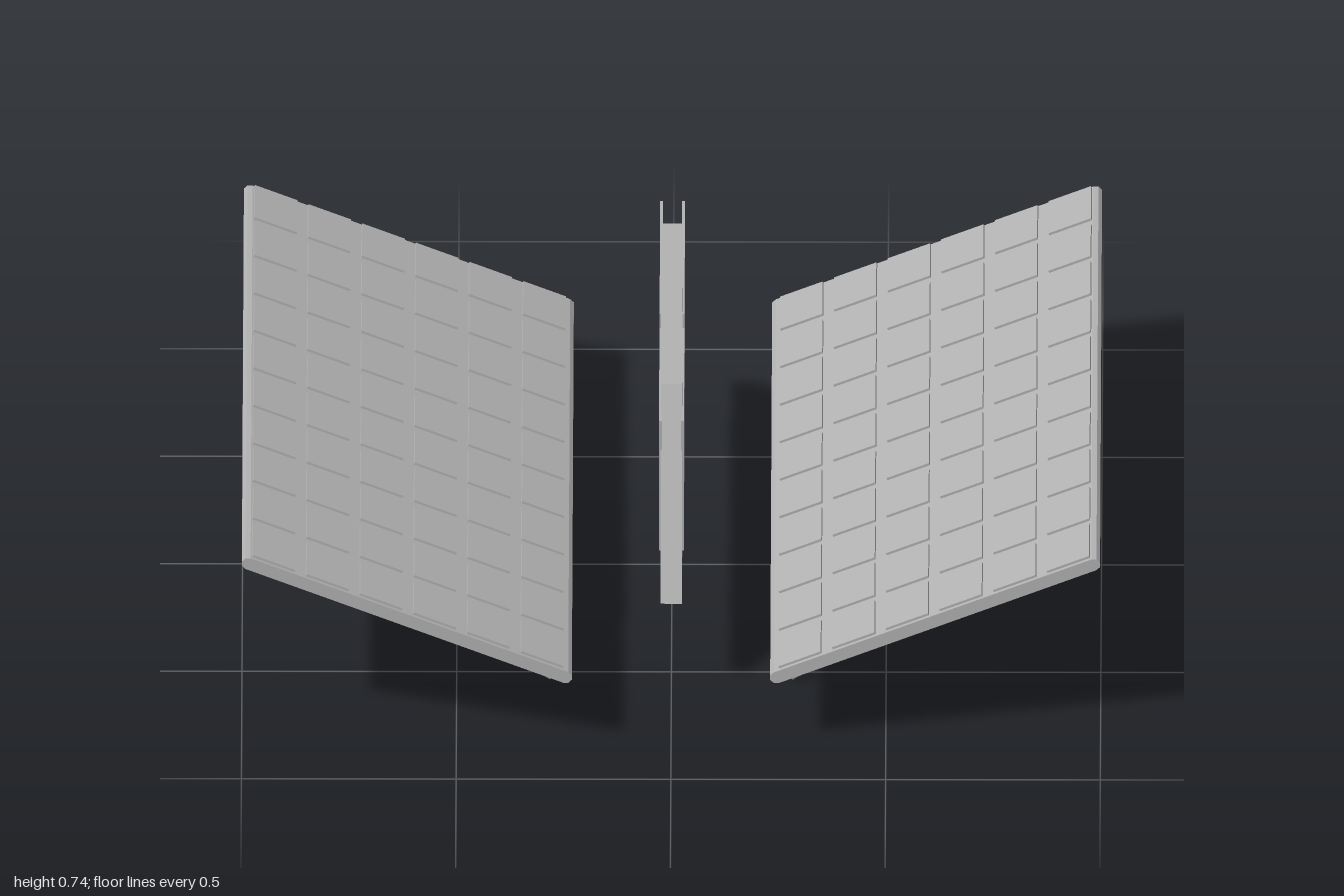
import * as THREE from 'three';

export function createModel() {
  const model = new THREE.Group();
  const grey = new THREE.MeshStandardMaterial({ color: 0xb3b3b3, flatShading: true });
  grey.name = 'grey';

  function add(parent, name, geometry, x = 0, y = 0, z = 0) {
    const mesh = new THREE.Mesh(geometry, grey);
    mesh.name = name;
    mesh.position.set(x, y, z);
    parent.add(mesh);
    return mesh;
  }
  function extrude(points, depth) {
    const shape = new THREE.Shape(points.map(([x, y]) => new THREE.Vector2(x, y)));
    return new THREE.ExtrudeGeometry(shape, { depth, bevelEnabled: false }).translate(0, 0, -depth / 2);
  }

  // Central fin: a trapezoid slab, turned so its profile lies along z
  const finProfile = [[-0.645, 0.27], [0.69, 0.27], [0.31, 0.74], [-0.435, 0.74]];
  add(model, 'fin', extrude(finProfile, 0.05).rotateY(Math.PI / 2));

  // Thin plates on both faces of the fin
  for (const s of [1, -1]) {
    for (const [z0, z1] of [[0.065, 0.498], [-0.527, 0]]) {
      add(model, 'finPlate', new THREE.BoxGeometry(0.007, 0.348, z1 - z0), s * 0.0255, 0.502, (z0 + z1) / 2);
    }
  }

  // Sloping wings with tiles on top and struts beneath
  const angle = Math.atan2(0.305, 0.74), t = 0.0155, half = 0.4;
  const wingProfile = [];
  for (const s of [1, -1]) {
    for (let i = 0; i <= 4; i++) {
      const a = -Math.PI / 2 + (i * Math.PI) / 4;
      wingProfile.push([s * (half + t * Math.cos(a)), s * t * Math.sin(a)]);
    }
  }
  const tile = new THREE.BoxGeometry(0.107, 0.014, 0.15);
  const up = new THREE.Vector3(0, 1, 0);

  for (const side of [1, -1]) {
    const wing = new THREE.Group();
    wing.name = side > 0 ? 'leftWing' : 'rightWing';
    wing.position.set(side * 0.615, 0.3525, 0);
    wing.rotation.z = side * angle;
    model.add(wing);
    add(wing, 'wingBoard', extrude(wingProfile, 1.735));
    for (let c = 0; c < 6; c++) {
      for (let r = 0; r < 10; r++) {
        add(wing, 'tile', tile, side * (0.005 + (c - 2.5) * 0.1352), 0.0145, -0.002 + (r - 4.5) * 0.1745);
      }
    }

    // Strut: slim rod, thicker foot and a tapered top socket
    for (const z of [0.53, -0.59]) {
      const strut = new THREE.Group();
      strut.name = 'strut';
      const foot = new THREE.Vector3(side * 0.277, 0.014, z);
      const dir = new THREE.Vector3(side * 0.93, 0.458, z).sub(foot);
      const length = dir.length();
      strut.position.copy(foot);
      strut.quaternion.setFromUnitVectors(up, dir.normalize());
      model.add(strut);
      add(strut, 'strutRod', new THREE.CylinderGeometry(0.009, 0.009, length, 10), 0, length / 2, 0);
      add(strut, 'strutFoot', new THREE.CylinderGeometry(0.014, 0.014, 0.045, 10), 0, 0.0225, 0);
      add(strut, 'strutSocket', new THREE.CylinderGeometry(0.015, 0.011, 0.04, 8), 0, length - 0.02, 0);
    }
  }
  return model;
}
